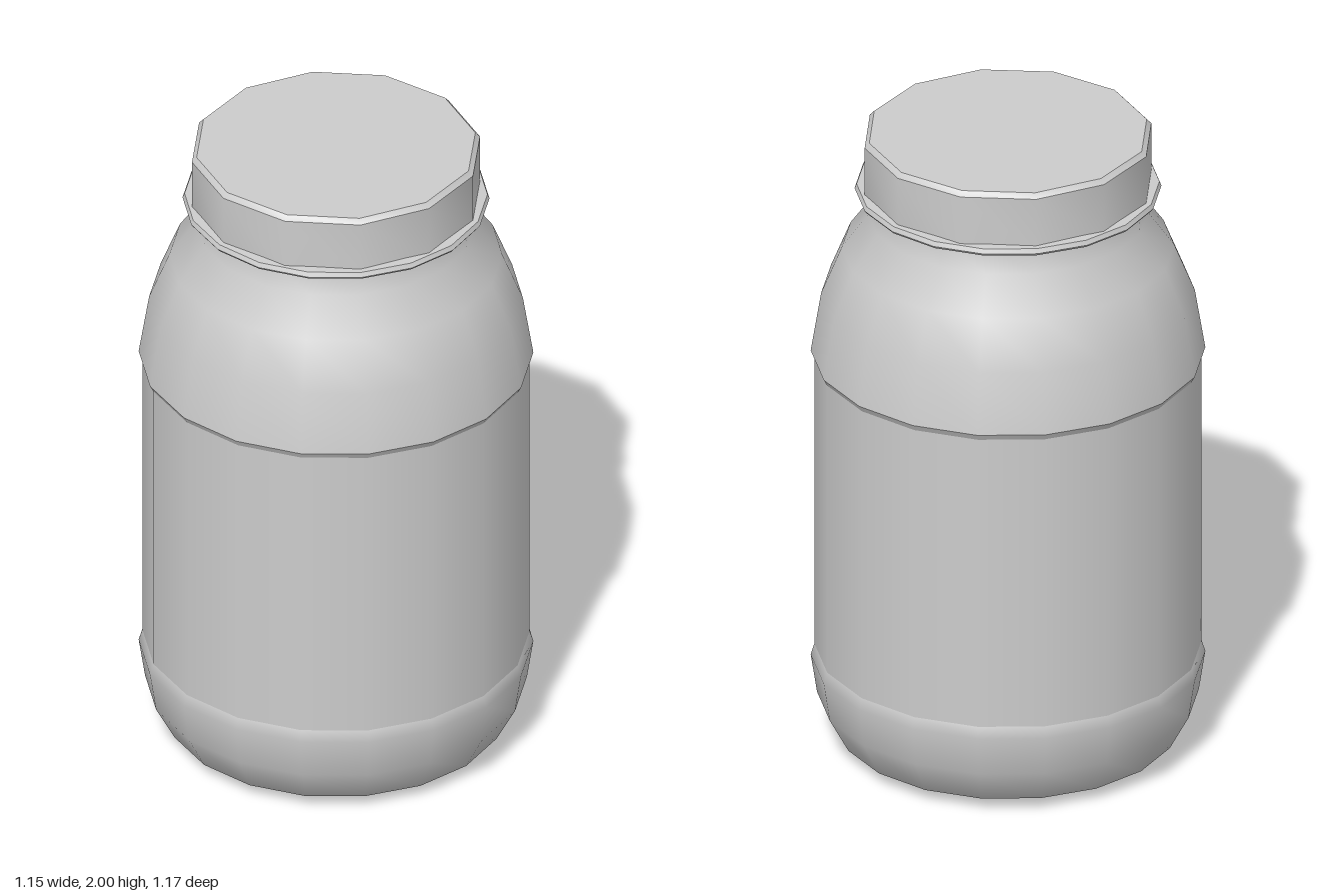
import * as THREE from 'three';
import { toCreasedNormals } from 'three/addons/utils/BufferGeometryUtils.js';

const material = new THREE.MeshStandardMaterial({ color: 0xcccccc });

// Revolve a [radius, height] profile, listed from bottom to top
function turned(name, profile, sides, crease) {
  const points = profile.map(([r, y]) => new THREE.Vector2(r, y));
  let geometry = new THREE.LatheGeometry(points, sides);
  if (crease) geometry = toCreasedNormals(geometry, crease);
  const mesh = new THREE.Mesh(geometry, material);
  mesh.name = name;
  return mesh;
}

export function createModel() {
  const jar = new THREE.Group();
  jar.name = 'jar';

  // Rounded foot of the jar, closed underneath
  jar.add(turned('base', [
    [0, 0], [0.43, 0.003], [0.507, 0.04], [0.566, 0.15], [0.585, 0.275], [0.574, 0.31],
  ], 18));

  // Slightly recessed straight wall
  jar.add(turned('labelPanel', [[0.574, 0.31], [0.574, 1.26]], 18));

  // Lip over the panel, rounded shoulder and neck
  jar.add(turned('shoulderLip', [[0.574, 1.26], [0.585, 1.28]], 18));
  jar.add(turned('shoulder', [
    [0.585, 1.28], [0.554, 1.47], [0.493, 1.62], [0.414, 1.73], [0.407, 1.82],
  ], 18));

  // Thin collar under the lid
  jar.add(turned('collar', [
    [0.4, 1.808], [0.449, 1.808], [0.455, 1.816], [0.449, 1.83], [0.4, 1.834],
  ], 18, 0.6));

  // Twelve-sided lid with a small bevel
  jar.add(turned('lid', [
    [0, 1.82], [0.433, 1.82], [0.433, 1.985], [0.419, 2], [0, 2],
  ], 12, 0.6));

  return jar;
}
